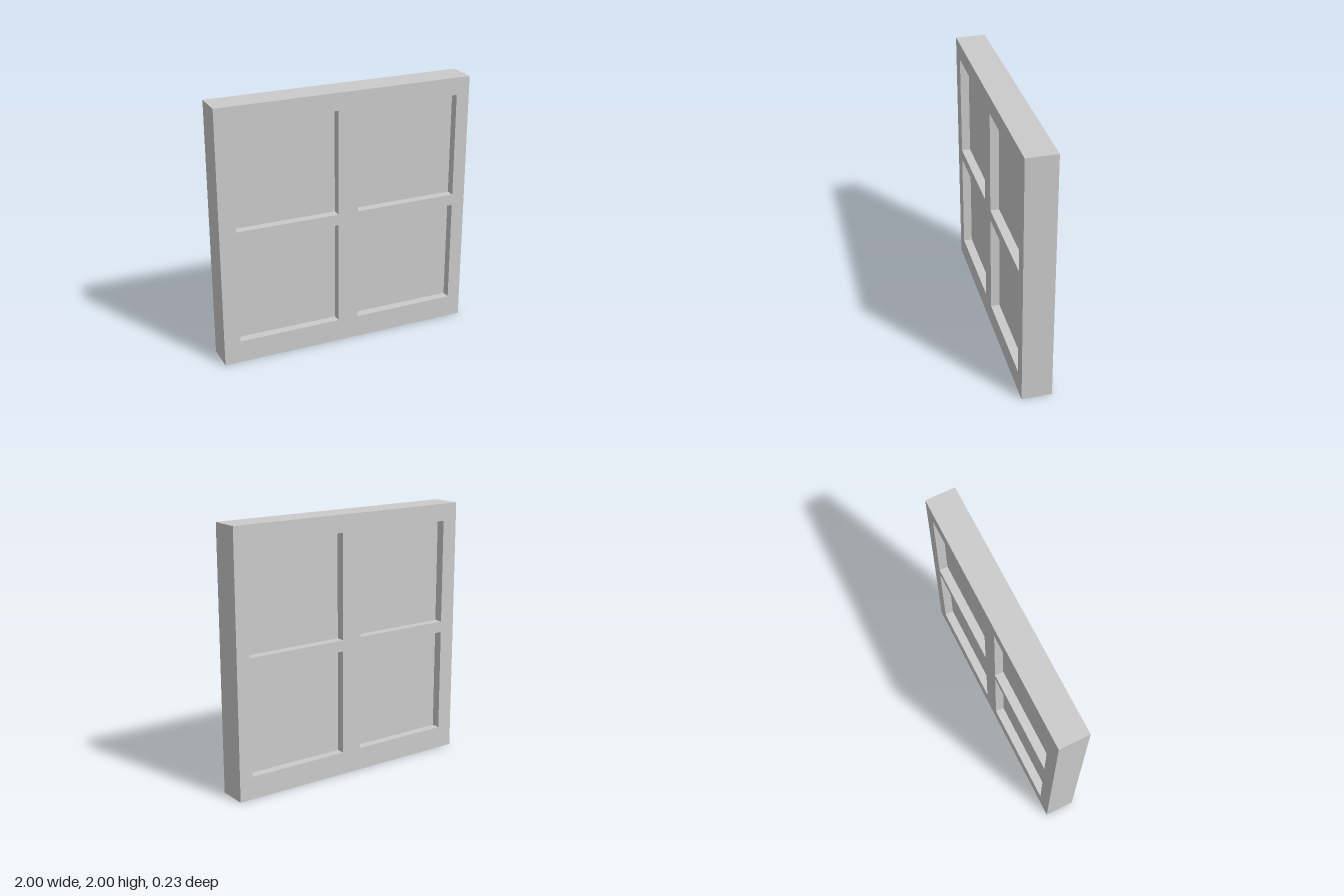
import * as THREE from 'three';

const DEPTH = 0.23;
const PANE_DEPTH = 0.094;
const COLUMNS = [[-0.874, -0.072], [0.088, 0.896]];
const ROWS = [[0.175, 0.978], [1.064, 1.867]];

// Traces a rectangle into a Shape or Path
function rect(path, x0, y0, x1, y1) {
  path.moveTo(x0, y0);
  path.lineTo(x1, y0);
  path.lineTo(x1, y1);
  path.lineTo(x0, y1);
  path.closePath();
  return path;
}

export function createModel() {
  const group = new THREE.Group();
  group.name = 'window';
  const material = new THREE.MeshStandardMaterial({ color: 0xcccccc, flatShading: true });

  // Frame with crossing bars: one square slab with four openings
  const outline = rect(new THREE.Shape(), -1, 0, 1, 2);

  for (const [x0, x1] of COLUMNS) {
    for (const [y0, y1] of ROWS) {
      outline.holes.push(rect(new THREE.Path(), x0, y0, x1, y1));

      // Pane recessed on both sides, its edges tucked into the frame
      const pane = new THREE.Mesh(
        new THREE.BoxGeometry(x1 - x0 + 0.02, y1 - y0 + 0.02, PANE_DEPTH), material);
      pane.position.set((x0 + x1) / 2, (y0 + y1) / 2, 0);
      pane.name = 'pane';
      group.add(pane);
    }
  }

  const frameGeometry = new THREE.ExtrudeGeometry(outline, { depth: DEPTH, bevelEnabled: false });
  frameGeometry.translate(0, 0, -DEPTH / 2);
  const frame = new THREE.Mesh(frameGeometry, material);
  frame.name = 'frame';
  group.add(frame);

  return group;
}
